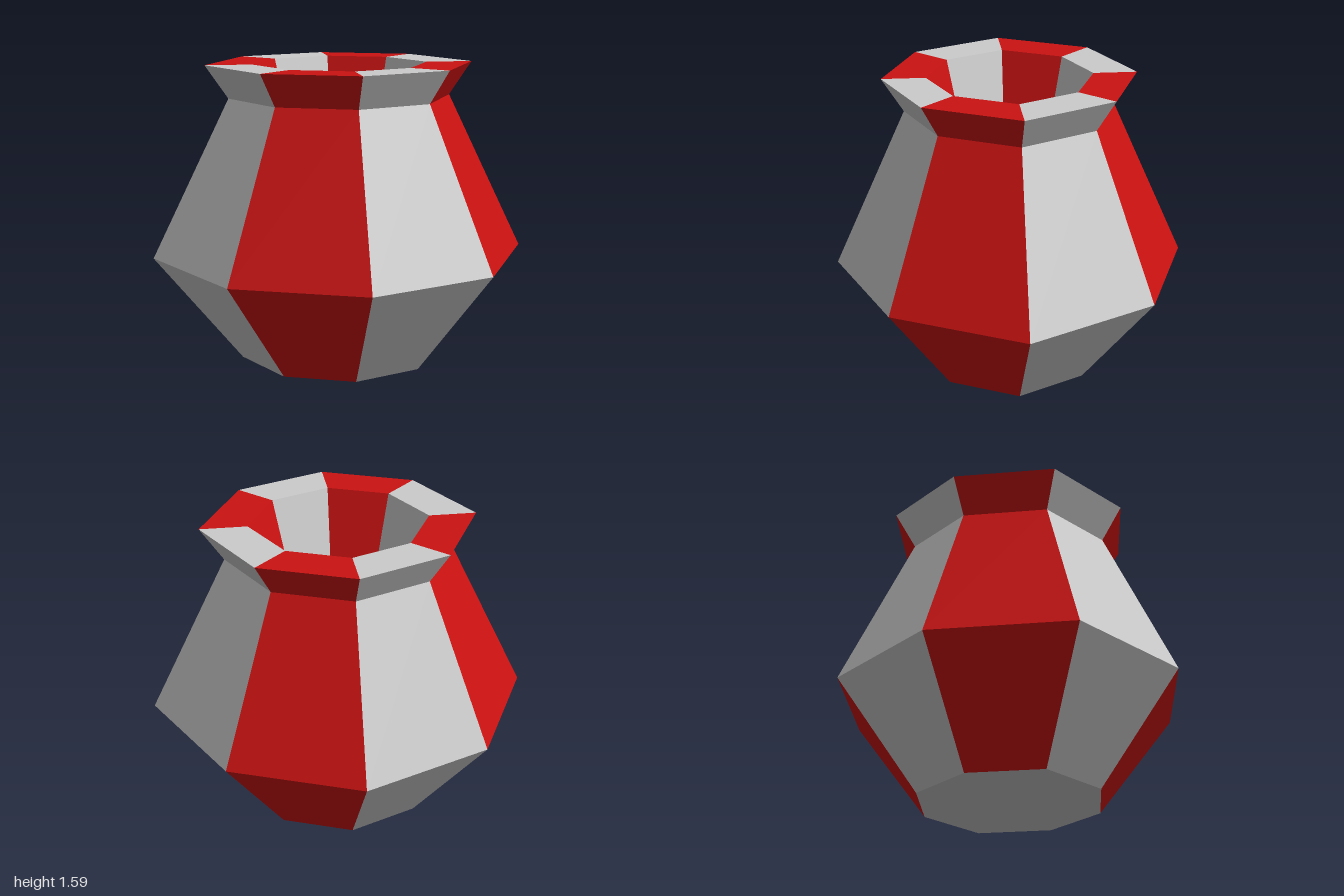
import * as THREE from 'three';

const GREY = new THREE.MeshStandardMaterial({ color: 0xcccccc, flatShading: true });
const RED = new THREE.MeshStandardMaterial({ color: 0xcc1212, flatShading: true });
const SIDES = 8;

// Unit corner of the slightly uneven octagon, counted from the front towards +x
function corner(k) {
  const a = (k * Math.PI * 2) / SIDES;
  const stretch = k % 2 ? 0.94 : k % 4 ? 1 : 0.93;
  return [Math.sin(a) * stretch, Math.cos(a) * stretch];
}

// Joins two octagonal rings [radius, height] with panels on the chosen sides
function panels([r0, y0], [r1, y1], sides) {
  const pos = [];
  for (const k of sides) {
    const [x0, z0] = corner(k);
    const [x1, z1] = corner(k + 1);
    const a = [x0 * r0, y0, z0 * r0], b = [x1 * r0, y0, z1 * r0];
    const c = [x1 * r1, y1, z1 * r1], d = [x0 * r1, y1, z0 * r1];
    if (r0 > 0) pos.push(...a, ...b, ...(r1 > 0 ? c : d));
    if (r1 > 0) pos.push(...a, ...c, ...d);
  }
  const geo = new THREE.BufferGeometry();
  geo.setAttribute('position', new THREE.Float32BufferAttribute(pos, 3));
  geo.computeVertexNormals();
  return geo;
}

export function createModel() {
  const pot = new THREE.Group();
  pot.name = 'pot';

  // Profile from the base centre, up the outside, over the rim and down inside
  const profile = [
    [0, 0], [0.535, 0], [1, 0.57], [0.59, 1.41],
    [0.71, 1.585], [0.465, 1.585], [0.24, 0.8], [0, 0.8],
  ];
  const names = ['base', 'lowerBody', 'upperBody', 'flaredNeck', 'rim', 'innerWall', 'innerFloor'];
  const even = [0, 2, 4, 6], odd = [1, 3, 5, 7];

  names.forEach((name, i) => {
    const part = new THREE.Group();
    part.name = name;
    const plain = i === 0 || i === names.length - 1;
    const add = (label, sides, material) => {
      const mesh = new THREE.Mesh(panels(profile[i], profile[i + 1], sides), material);
      mesh.name = label;
      part.add(mesh);
    };
    // Base and floor are plain; everything else alternates grey and red
    add(name + 'Grey', plain ? [...even, ...odd] : even, GREY);
    if (!plain) add(name + 'Red', odd, RED);
    pot.add(part);
  });
  return pot;
}
